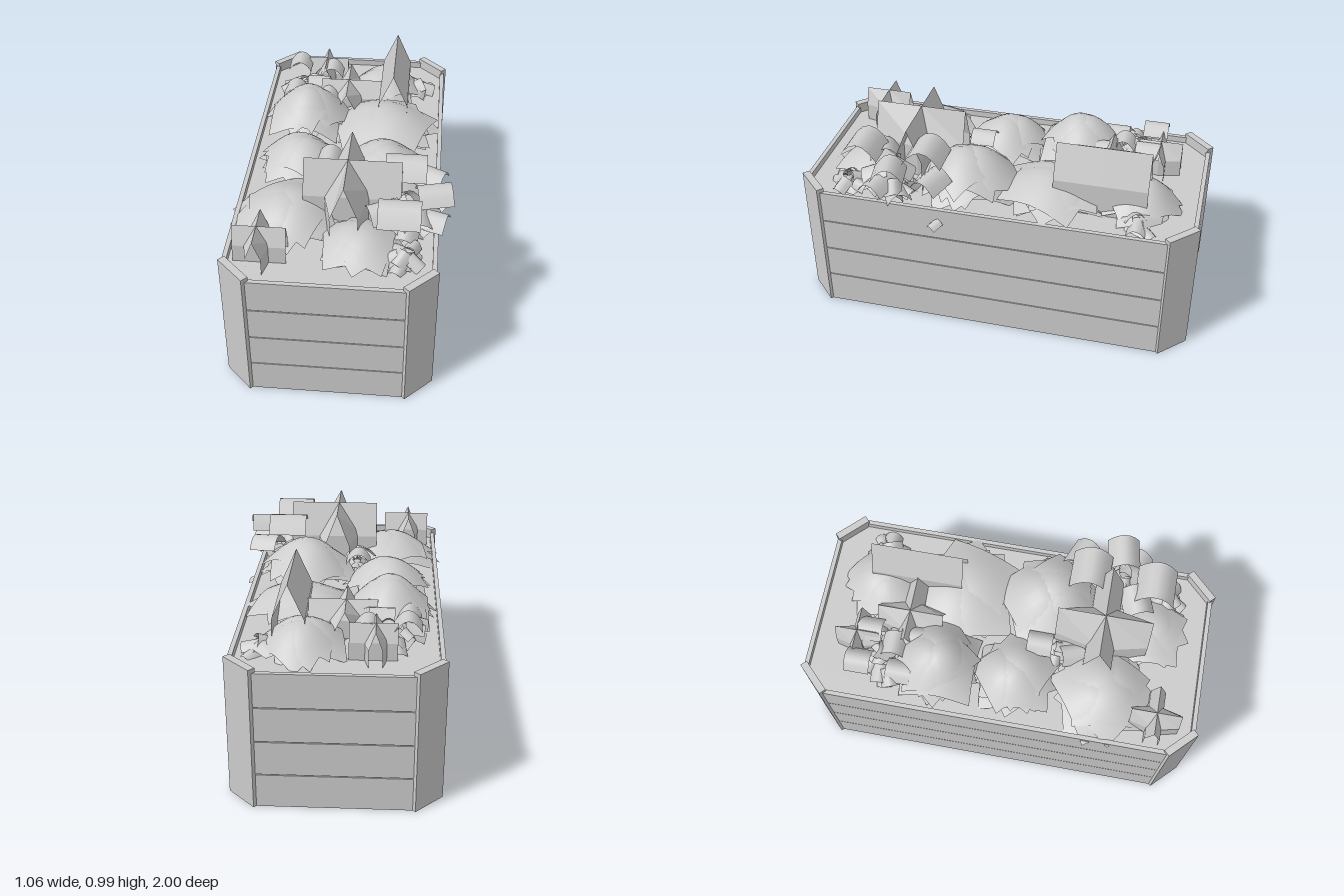
import * as THREE from 'three';

const smooth = new THREE.MeshStandardMaterial({ color: 0xcccccc, side: THREE.DoubleSide });
const flat = new THREE.MeshStandardMaterial({ color: 0xcccccc, side: THREE.DoubleSide, flatShading: true });
const CX = -0.026, SOIL = 0.65;

function add(parent, name, geometry, material = flat) {
  const mesh = new THREE.Mesh(geometry, material);
  mesh.name = name;
  parent.add(mesh);
  return mesh;
}

function seeded(seed) {
  return () => (seed = (seed * 16807) % 2147483647) / 2147483647;
}

// Horizontal sheet whose height follows a rule of (x, z)
function sheet(w, d, n, rule) {
  const g = new THREE.PlaneGeometry(w, d, n, n).rotateX(-Math.PI / 2);
  const p = g.attributes.position;
  for (let i = 0; i < p.count; i++) p.setY(i, rule(p.getX(i), p.getZ(i)));
  g.computeVertexNormals();
  return g;
}

// Planter: octagonal soil block, four planks per side, diagonal corner posts
function planter() {
  const group = new THREE.Group();
  group.name = 'planter';
  group.position.x = CX;
  const a = 0.476, b = 0.976, c = 0.12;
  const outline = new THREE.Shape([
    [a, b - c], [a - c, b], [c - a, b], [-a, b - c],
    [-a, c - b], [c - a, -b], [a - c, -b], [a, c - b],
  ].map(([x, y]) => new THREE.Vector2(x, y)));
  const soil = new THREE.ExtrudeGeometry(outline, { depth: SOIL, bevelEnabled: false });
  add(group, 'soil', soil.rotateX(-Math.PI / 2));

  for (const s of [-1, 1]) {
    for (let i = 0; i < 4; i++) {
      const y = 0.0835 + i * 0.1717;
      add(group, 'endPlank', new THREE.BoxGeometry(0.74, 0.167, 0.022)).position.set(0, y, s * 0.976);
      add(group, 'sidePlank', new THREE.BoxGeometry(0.022, 0.167, 1.74)).position.set(s * 0.476, y, 0);
    }
    for (const t of [-1, 1]) {
      const post = add(group, 'cornerPost', new THREE.BoxGeometry(0.182, 0.703, 0.037));
      post.position.set(s * 0.42, 0.3515, t * 0.922);
      post.rotation.y = s * t * Math.PI / 4;
    }
  }
  return group;
}

// Bushy head: square leaves draped over a bell, each turned and slightly tipped
function bush(x, z, half, top, seed) {
  const group = new THREE.Group();
  group.name = 'bush';
  const rnd = seeded(seed * 7919 + 13);
  const h = top - SOIL, R = half * 1.6;
  for (let i = 0; i < 6; i++) {
    const size = half * (1.8 - i * 0.08);
    const bell = (u, v) => h * (0.5 + 0.5 * Math.cos(Math.PI * Math.min(1, Math.hypot(u, v) / R)));
    const leaf = add(group, 'drapedLeaf', sheet(size, size, 10, bell), smooth);
    leaf.rotation.set((rnd() - 0.5) * 0.2, i * 0.47 + rnd() * 0.4, (rnd() - 0.5) * 0.2);
    leaf.position.set((rnd() - 0.5) * half * 0.25, -0.012 * rnd(), (rnd() - 0.5) * half * 0.25);
  }
  group.position.set(x, SOIL, z);
  return group;
}

// Folded sheet with its ridge along z: sloping shoulders, then upright legs.
// The taper draws the legs together towards both ends.
function foldedLeaf(length, spread, height, taper = 0) {
  const rows = [[-1, 0], [-1, 0.5], [0, 1], [1, 0.5], [1, 0]];
  const pos = [], idx = [];
  for (let j = 0; j < 3; j++) {
    const wide = spread - (j === 1 ? 0 : taper);
    for (const [u, v] of rows) pos.push(u * wide, v * height, (j - 1) * length / 2);
  }
  for (let j = 0; j < 2; j++) for (let i = 0; i < 4; i++) {
    const k = j * 5 + i;
    idx.push(k, k + 5, k + 1, k + 1, k + 5, k + 6);
  }
  const g = new THREE.BufferGeometry();
  g.setAttribute('position', new THREE.Float32BufferAttribute(pos, 3));
  g.setIndex(idx);
  g.computeVertexNormals();
  return g;
}

// Upright plant made from two crossed folded leaves
function crossedPlant(x, z, size, top) {
  const group = new THREE.Group();
  group.name = 'crossedPlant';
  const h = top - SOIL;
  const lengthwise = add(group, 'foldedLeaf', foldedLeaf(size, size * 0.26, h, size * 0.12));
  lengthwise.position.x = -size * 0.05;
  add(group, 'foldedLeaf', foldedLeaf(size, size * 0.15, h)).rotation.y = Math.PI / 2;
  group.position.set(x, SOIL, z);
  return group;
}

// Arched square leaf; x, y, z is the crown of the arch
function archedLeaf(parent, x, y, z, size, turn = 0, tip = 0, roll = 0) {
  const g = sheet(size, size, 6, (u) => -1.7 * u * u / size);
  const leaf = add(parent, 'archedLeaf', g, smooth);
  leaf.position.set(x, y, z);
  leaf.rotation.set(tip, turn, roll, 'YXZ');
}

// Low tuft of small arched leaves tipped outwards
function tuft(parent, x, z, radius, low, high, count, size, seed) {
  const rnd = seeded(seed);
  for (let i = 0; i < count; i++) {
    const turn = i * 2.4 + rnd(), r = radius * Math.sqrt((i + 0.5) / count);
    archedLeaf(parent, x + Math.sin(turn) * r, low + (high - low) * rnd(), z + Math.cos(turn) * r,
      size * (0.7 + 0.6 * rnd()), turn, 0.1 + 0.6 * rnd(), (rnd() - 0.5) * 0.5);
  }
}

export function createModel() {
  const model = new THREE.Group();
  model.name = 'gardenBed';
  model.add(planter());

  // Bushes: x, z, half width, top
  [
    [0.13, -0.67, 0.18, 0.81], [-0.25, -0.32, 0.2, 0.88], [0.15, -0.28, 0.25, 0.8],
    [-0.24, 0.06, 0.19, 0.82], [0.18, 0.17, 0.23, 0.88], [-0.25, 0.5, 0.22, 0.81],
    [0.1, 0.68, 0.18, 0.77],
  ].forEach((b, i) => model.add(bush(...b, i + 1)));

  // Crossed plants: x, z, size, top
  [
    [0.05, 0.455, 0.46, 0.99], [-0.345, 0.775, 0.245, 0.83],
    [-0.04, -0.5, 0.33, 0.83], [-0.19, -0.74, 0.22, 0.82],
  ].forEach((p) => model.add(crossedPlant(...p)));

  // Single tall folded leaf at the back
  add(model, 'tallLeaf', foldedLeaf(0.46, 0.075, 0.99 - SOIL)).position.set(0.195, SOIL, -0.505);

  // Leafy plants: large upper leaves and lower tufts
  const leafy = new THREE.Group();
  leafy.name = 'leafyPlants';
  model.add(leafy);
  [
    [0.295, 0.95, 0.35, 0.195, Math.PI / 2], [0.28, 0.935, 0.68, 0.195, Math.PI / 2],
    [0.41, 0.85, 0.3, 0.15, 1.2, 0.1], [0.43, 0.9, 0.5, 0.16, 1.75, -0.05],
    [0.43, 0.8, 0.57, 0.14, 1.3, 0.05], [0.2, 0.86, 0.6, 0.15, -1.2, 0.1],
    [-0.345, 0.84, -0.7, 0.125], [-0.165, 0.82, -0.68, 0.125],
    [-0.35, 0.79, -0.5, 0.125], [-0.165, 0.8, -0.46, 0.125],
    [-0.225, 0.81, -0.55, 0.12, Math.PI / 2], [-0.09, 0.82, 0.16, 0.125],
    [-0.1, 0.78, 0.33, 0.12, 0.4, 0.2], [0.48, 0.62, 0.27, 0.06, 0.9, 0.4],
  ].forEach((l) => archedLeaf(leafy, ...l));
  tuft(leafy, 0.33, 0.52, 0.11, 0.69, 0.83, 20, 0.1, 11);
  tuft(leafy, 0.32, 0.76, 0.09, 0.68, 0.72, 8, 0.1, 23);
  tuft(leafy, -0.26, -0.6, 0.15, 0.68, 0.77, 24, 0.075, 37);
  tuft(leafy, -0.08, 0.25, 0.08, 0.69, 0.77, 8, 0.08, 53);
  tuft(leafy, 0.32, -0.7, 0.07, 0.67, 0.72, 7, 0.09, 71);
  return model;
}
